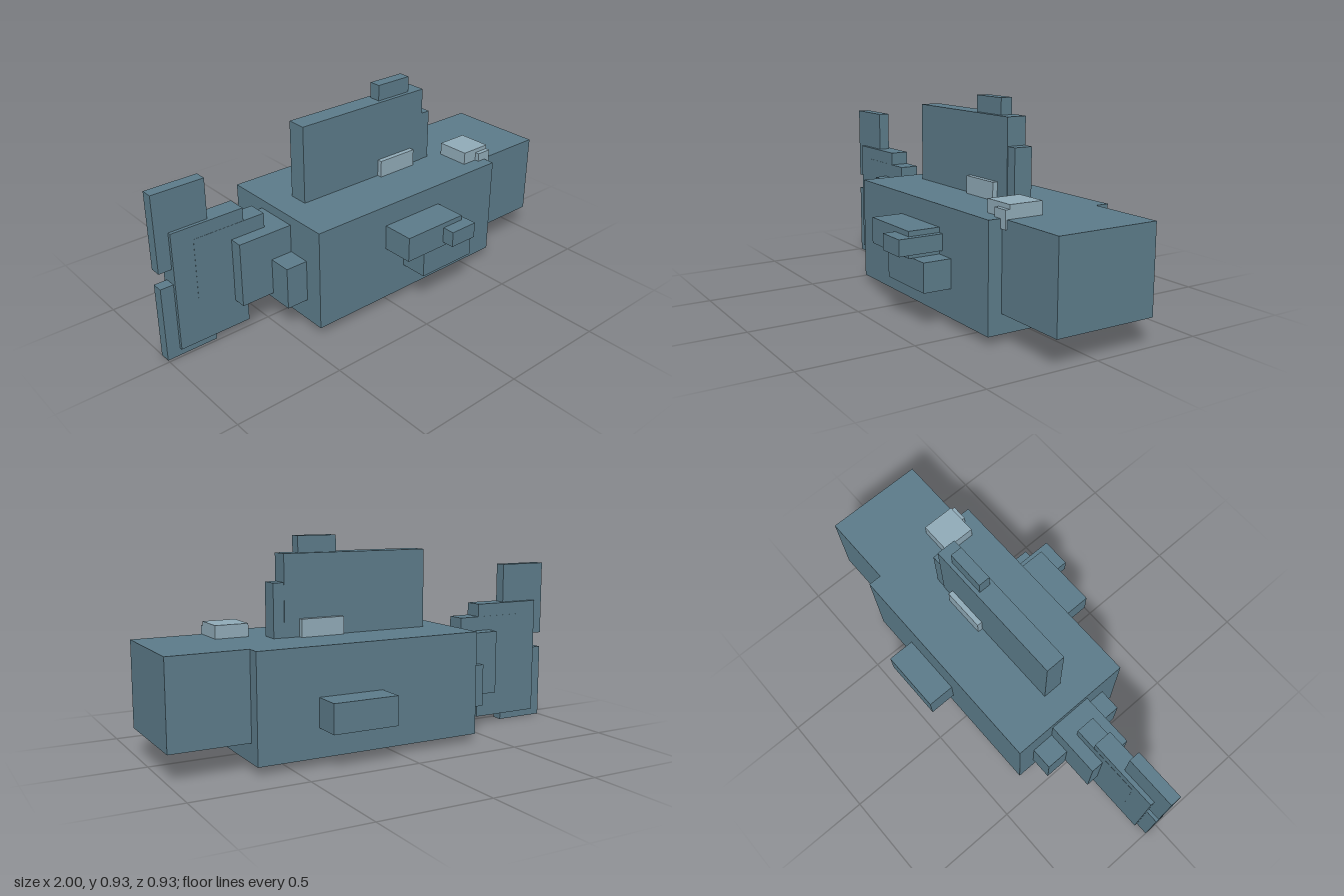
import * as THREE from 'three';

const slate = new THREE.MeshStandardMaterial({ color: 0x5b7a88 });
slate.name = 'slate blue';
const pale = new THREE.MeshStandardMaterial({ color: 0x8fa9b6 });
pale.name = 'pale blue';

export function createModel() {
  const model = new THREE.Group();
  model.name = 'blockFish';

  // A box given by its extents along each axis
  const block = (name, [x0, x1], [y0, y1], [z0, z1], material = slate) => {
    const mesh = new THREE.Mesh(new THREE.BoxGeometry(x1 - x0, y1 - y0, z1 - z0), material);
    mesh.position.set((x0 + x1) / 2, (y0 + y1) / 2, (z0 + z1) / 2);
    mesh.name = name;
    model.add(mesh);
  };

  // Body and head
  block('body', [-0.405, 0.653], [0.035, 0.502], [-0.336, 0.26]);
  block('head', [0.653, 1], [0.12, 0.502], [-0.273, 0.197]);

  // Dorsal fin
  block('dorsalFin', [-0.283, 0.416], [0.502, 0.86], [-0.084, 0.008]);
  block('dorsalFinFront', [0.416, 0.465], [0.502, 0.738], [-0.081, 0.005]);
  block('dorsalFinTip', [0.16, 0.342], [0.86, 0.933], [-0.066, -0.011]);

  // Side fins; the lower pair is one bar through the body
  block('lowerSideFins', [0.08, 0.38], [0.162, 0.29], [-0.465, 0.389]);
  block('upperSideFin', [-0.032, 0.29], [0.29, 0.405], [0.2, 0.407]);
  block('upperSideFinTip', [0.177, 0.316], [0.31, 0.382], [0.2, 0.465]);

  // Tapering tail stalk
  block('tailRoot', [-0.508, -0.405], [0.136, 0.33], [-0.252, 0.17]);
  block('tailStalk', [-0.664, -0.405], [0.162, 0.46], [-0.144, 0.063]);

  // Tail fin
  block('tailFin', [-0.94, -0.6], [0.036, 0.587], [-0.084, 0.003]);
  block('tailFinRidge', [-0.84, -0.498], [0.25, 0.527], [-0.085, 0.004]);
  block('tailFinUpperTip', [-1, -0.76], [0.42, 0.77], [-0.064, -0.012]);
  block('tailFinLowerTip', [-1, -0.76], [0, 0.348], [-0.063, -0.012]);

  // Pale plates on the back and head
  block('backPlate', [0.143, 0.346], [0.502, 0.581], [-0.108, 0.031], pale);
  block('browPlate', [0.535, 0.685], [0.502, 0.56], [0.029, 0.185], pale);
  block('browPost', [0.611, 0.685], [0.462, 0.541], [0.12, 0.205], pale);

  return model;
}
